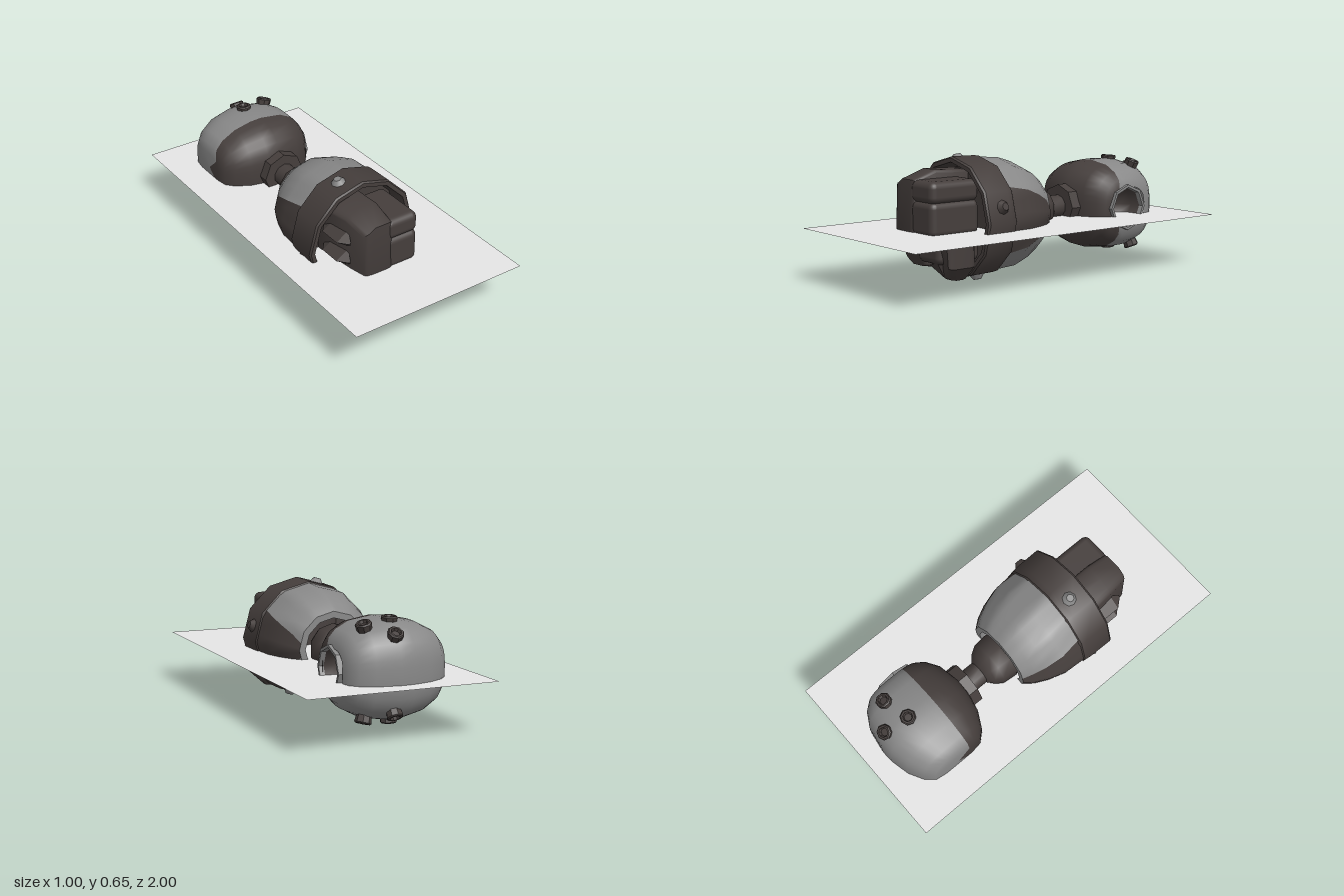
import * as THREE from 'three';
import { toCreasedNormals } from 'three/addons/utils/BufferGeometryUtils.js';
import { RoundedBoxGeometry } from 'three/addons/geometries/RoundedBoxGeometry.js';

const PI = Math.PI;

export function createModel() {
  const make = (name, color) => {
    const m = new THREE.MeshStandardMaterial({ color, side: THREE.DoubleSide });
    m.name = name;
    return m;
  };
  const dark = make('dark metal', 0x453e3c);
  const grey = make('grey armour', 0x888888);
  const pale = make('pale sheet', 0xe6e6e6);

  const model = new THREE.Group();
  model.name = 'mechanicalArm';
  const add = (parent, name, geometry, material, x = 0, y = 0, z = 0) => {
    const mesh = new THREE.Mesh(geometry, material);
    mesh.name = name;
    mesh.position.set(x, y, z);
    parent.add(mesh);
    return mesh;
  };
  const addGroup = (name, x, y, z) => {
    const g = new THREE.Group();
    g.name = name;
    g.position.set(x, y, z);
    model.add(g);
    return g;
  };
  const vectors = points => points.map(p => new THREE.Vector2(...p));
  // Turned part along z; points are [radius, z]
  const turned = (points, sides, crease = 0.6) => toCreasedNormals(
    new THREE.LatheGeometry(vectors(points), sides).rotateX(PI / 2), crease);

  // Cross-sections: a 12-sided polygon and a soft square, as radius factors
  const twelveSided = phi => {
    const local = phi - Math.floor(phi / (PI / 6)) * PI / 6 - PI / 12;
    return Math.cos(PI / 12) / Math.cos(local);
  };
  const softSquare = phi =>
    (Math.abs(Math.cos(phi)) ** 2.8 + Math.abs(Math.sin(phi)) ** 2.8) ** (-1 / 2.8);

  // Sector of a shell along z; its angular limits vary with the radius and position
  function sector(profile, section, from, to, segs) {
    const pos = [], index = [];
    profile.forEach(([r, t], i) => {
      const a = from(r, t), b = to(r, t);
      for (let j = 0; j <= segs; j++) {
        const phi = a + (b - a) * j / segs;
        const rr = r * section(phi);
        pos.push(rr * Math.cos(phi), rr * Math.sin(phi), t);
        if (i && j) {
          const q = i * (segs + 1) + j, p = q - segs - 1;
          index.push(p - 1, p, q - 1, p, q, q - 1);
        }
      }
    });
    const g = new THREE.BufferGeometry();
    g.setAttribute('position', new THREE.Float32BufferAttribute(pos, 3));
    g.setIndex(index);
    g.computeVertexNormals();
    return g;
  }

  // Flat sheet through the arm
  add(model, 'sheet', new THREE.PlaneGeometry(1, 2).rotateX(-PI / 2), pale, 0, 0.268, 0);

  // Forearm shell with a dark tapering wedge on each side
  const forearm = addGroup('forearm', -0.035, 0.317, 0);
  const shell = [[0.195, -0.11], [0.235, -0.06], [0.27, 0.01], [0.298, 0.1], [0.306, 0.225]];
  const wedge = (r, t) => 0.2 + 0.41 * Math.sqrt(Math.max(0, (t + 0.11) / 0.335));
  for (const turn of [0, PI]) {
    add(forearm, 'forearmShell', sector(shell, twelveSided,
      (r, t) => turn + wedge(r, t), (r, t) => turn + PI - wedge(r, t), 16), grey);
    add(forearm, 'forearmSidePanel', sector(shell, twelveSided,
      (r, t) => turn - wedge(r, t), (r, t) => turn + wedge(r, t), 8), dark);
  }
  add(forearm, 'forearmRearRim', turned([[0.16, -0.06], [0.16, -0.11], [0.195, -0.11]], 12), grey);

  // Wrist band with its open cup
  add(forearm, 'wristBand', turned([[0.3, 0.21], [0.312, 0.22], [0.316, 0.25], [0.319, 0.39],
    [0.312, 0.4], [0.29, 0.4], [0.275, 0.3], [0, 0.28]], 12), dark);
  for (let i = 0; i < 4; i++) {
    const holder = new THREE.Group();
    holder.name = 'bandStudHolder';
    holder.rotation.z = PI / 12 + i * PI / 2;
    const stud = add(holder, 'bandStud', new THREE.CylinderGeometry(0.02, 0.042, 0.03, 8),
      i % 2 ? grey : dark, 0.315, 0, 0.297);
    stud.rotation.z = -PI / 2;
    forearm.add(holder);
  }

  // Elbow ball, rod and shoulder collar
  add(forearm, 'elbowJoint', turned([[0, -0.255], [0.066, -0.25], [0.1, -0.22], [0.125, -0.18],
    [0.132, -0.1], [0.1, -0.03], [0, -0.02]], 10, 0.9), dark);
  add(forearm, 'elbowRod', turned([[0.063, -0.36], [0.063, -0.24]], 10, 0.7), dark);
  add(forearm, 'shoulderCollar', turned([[0, -0.4], [0.12, -0.4], [0.12, -0.33], [0, -0.33]], 8), dark);

  // Boxy rounded shoulder turned about x, dark toward the forearm
  const shoulder = addGroup('shoulder', 0, 0.312, -0.635);
  const body = new THREE.Group();
  body.name = 'shoulderBody';
  body.rotation.y = PI / 2;
  body.scale.y = 0.94;
  shoulder.add(body);
  const dome = [[0.001, -0.33], [0.09, -0.329], [0.15, -0.32], [0.195, -0.28], [0.238, -0.2],
    [0.26, -0.1], [0.264, -0.03], [0.244, 0.095], [0.205, 0.165], [0.165, 0.2], [0.115, 0.21]];
  const split = r => Math.acos(Math.max(-1, -0.065 / r));
  add(body, 'shoulderShell', sector(dome, softSquare, r => -split(r), split, 24), grey);
  add(body, 'shoulderFrontPanel', sector(dome, softSquare, split, r => 2 * PI - split(r), 16), dark);

  // Socket on the shoulder's side
  const socket = new THREE.Group();
  socket.name = 'socket';
  socket.rotation.y = PI / 2;
  socket.position.z = 0.02;
  shoulder.add(socket);
  add(socket, 'socketRing', turned([[0.124, 0.17], [0.125, 0.226], [0.11, 0.226], [0.108, 0.2]], 8), grey);
  add(socket, 'socketCup', turned([[0.11, 0.22], [0.104, 0.14], [0.07, 0.09], [0, 0.07]], 8, 1), dark);

  // Hollow bolts above and below: [x, height, z, outward tilt]
  const boltShape = [[0.036, -0.03], [0.042, 0.01], [0.036, 0.016], [0.026, 0.016], [0.02, 0.002], [0, 0.002]];
  const bolts = [[-0.016, 0.195, -0.215, -0.7], [0.104, 0.23, -0.12, -0.2], [-0.048, 0.247, -0.085, -0.08]];
  for (const side of [1, -1]) {
    for (const [x, y, z, tilt] of bolts) {
      const bolt = add(shoulder, 'shoulderBolt', turned(boltShape, 8), dark, x, side * y, z);
      bolt.quaternion.setFromUnitVectors(new THREE.Vector3(0, 0, 1),
        new THREE.Vector3(Math.max(0, x * 3), side, tilt).normalize());
    }
  }

  // Fist: palm cut from its side outline, its outer side rounded and leaning in toward the front
  const hand = addGroup('hand', 0, 0, 0);
  const outline = new THREE.Shape(vectors([[0.3, 0.55], [0.5, 0.56], [0.62, 0.52], [0.63, 0.27],
    [0.6, 0.18], [0.56, 0.1], [0.48, 0.085], [0.3, 0.095]]));
  const palmGeo = new THREE.ExtrudeGeometry(outline, {
    depth: 0.15, steps: 2, bevelThickness: 0.03, bevelSize: 0.015, bevelSegments: 3 });
  palmGeo.rotateY(-PI / 2);
  const p = palmGeo.attributes.position;
  for (let i = 0; i < p.count; i++) {
    const x = p.getX(i);
    if (x < -0.1) {
      p.setX(i, x + Math.max(0, p.getZ(i) - 0.4) * 0.2);
      p.setY(i, 0.323 + (p.getY(i) - 0.323) * (1 + (x + 0.1) * 1.8));
    }
  }
  palmGeo.computeVertexNormals();
  add(hand, 'palm', toCreasedNormals(palmGeo, 0.7), dark, -0.055, 0, 0);

  // Curled fingers
  [[0.42, 0.532, 0.64], [0.25, 0.43, 0.64], [0.112, 0.26, 0.6]].forEach(([low, high, front]) => {
    add(hand, 'finger', new RoundedBoxGeometry(0.19, high - low, front - 0.34, 3, 0.035), dark,
      0.036, (low + high) / 2, (front + 0.34) / 2);
  });

  // Thumb, narrowing downward
  const thumbShape = new THREE.Shape(vectors([[0.03, 0.1], [0.08, 0.04], [0.12, 0.04], [0.185, 0.105],
    [0.185, 0.21], [0.13, 0.21], [0.1, 0.13]]));
  const thumbGeo = new THREE.ExtrudeGeometry(thumbShape, {
    depth: 0.11, bevelThickness: 0.03, bevelSize: 0.014, bevelSegments: 2 });
  const t = thumbGeo.attributes.position;
  for (let i = 0; i < t.count; i++) {
    if (t.getZ(i) > 0.05) t.setZ(i, t.getZ(i) - Math.max(0, 0.115 - t.getY(i)) * 0.8);
  }
  thumbGeo.computeVertexNormals();
  add(hand, 'thumb', toCreasedNormals(thumbGeo, 0.7), dark, 0, 0, 0.45);

  // Pointed knuckle ridges
  const ridge = new THREE.Shape(vectors([[-0.265, 0], [-0.2, -0.042], [-0.2, 0.042]]));
  for (const y of [0.21, 0.32, 0.43]) {
    add(hand, 'knuckleRidge', new THREE.ExtrudeGeometry(ridge, {
      depth: 0.12, bevelThickness: 0.05, bevelSize: 0.03, bevelOffset: -0.027, bevelSegments: 1 }),
      dark, -0.004, y, 0.39);
  }
  return model;
}
